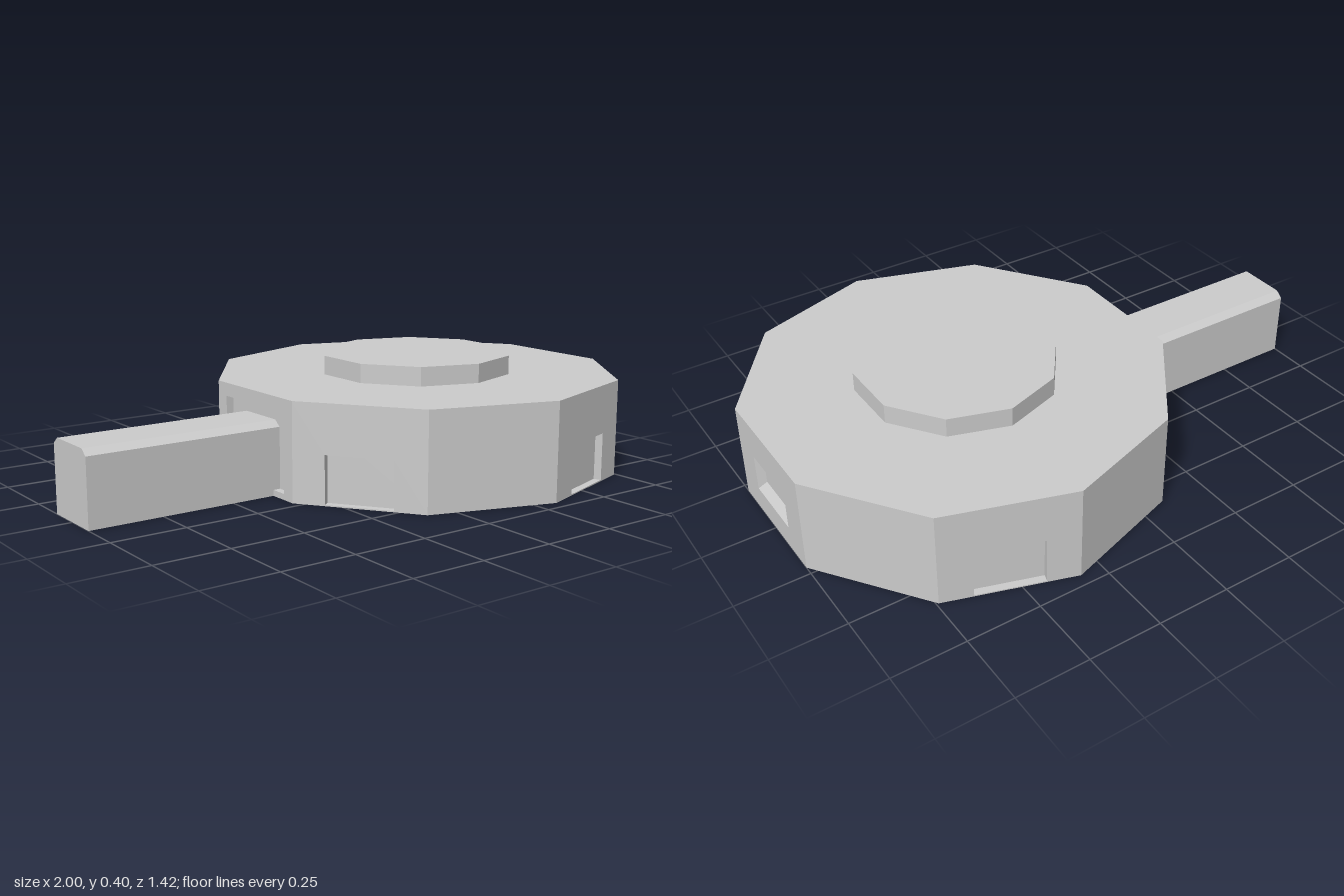
import * as THREE from 'three';

const mat = new THREE.MeshStandardMaterial({ color: 0xcccccc, flatShading: true });
const matDouble = new THREE.MeshStandardMaterial({ color: 0xcccccc, flatShading: true, side: THREE.DoubleSide });

const SIDES = 10, RADIUS = 0.71, HEIGHT = 0.33, HOLE = 0.335;
const APOTHEM = RADIUS * Math.cos(Math.PI / SIDES);
const WALL_WIDTH = 2 * RADIUS * Math.sin(Math.PI / SIDES);
const WALL = 0.026, PLATE = 0.003;

function mesh(name, geometry, material = mat) {
  const m = new THREE.Mesh(geometry, material);
  m.name = name;
  return m;
}

// Ten-cornered outline with corners on the z axis
function decagon(radius, Type = THREE.Shape) {
  const points = [];
  for (let i = 0; i < SIDES; i++) {
    const a = Math.PI / 2 + (i * 2 * Math.PI) / SIDES;
    points.push(new THREE.Vector2(Math.cos(a) * radius, Math.sin(a) * radius));
  }
  return new Type(points);
}

// Upright decagonal prism, optionally with a decagonal hole
function prism(radius, y0, y1, holeRadius = 0) {
  const shape = decagon(radius);
  if (holeRadius) shape.holes.push(decagon(holeRadius, THREE.Path));
  return new THREE.ExtrudeGeometry(shape, { depth: y1 - y0, bevelEnabled: false })
    .rotateX(-Math.PI / 2).translate(0, y0, 0);
}

function rectangle(halfWidth, y0, y1, Type = THREE.Shape) {
  return new Type([[-halfWidth, y0], [halfWidth, y0], [halfWidth, y1], [-halfWidth, y1]]
    .map(([x, y]) => new THREE.Vector2(x, y)));
}

// One outer wall, pierced by an opening whose back is the core
function wallPanel(opening) {
  const shape = rectangle(WALL_WIDTH / 2, PLATE, HEIGHT - PLATE);
  if (opening) shape.holes.push(rectangle(...opening, THREE.Path));
  return new THREE.ExtrudeGeometry(shape, { depth: WALL, bevelEnabled: false })
    .translate(0, 0, APOTHEM - WALL);
}

// Sloping reveal between the window opening and its smaller back
function windowReveal(outer, inner) {
  const loop = ([w, y0, y1], z) => [[-w, y0, z], [w, y0, z], [w, y1, z], [-w, y1, z]];
  const front = loop(outer, APOTHEM), back = loop(inner, APOTHEM - WALL + 0.001);
  const positions = [];
  for (let i = 0; i < 4; i++) {
    const j = (i + 1) % 4;
    for (const p of [front[i], front[j], back[j], front[i], back[j], back[i]]) positions.push(...p);
  }
  const g = new THREE.BufferGeometry();
  g.setAttribute('position', new THREE.Float32BufferAttribute(positions, 3));
  g.computeVertexNormals();
  return g;
}

export function createModel() {
  const root = new THREE.Group();
  root.name = 'roundBuilding';
  const hall = new THREE.Group();
  hall.name = 'hall';
  hall.position.x = 0.325;
  root.add(hall);

  // Core ring, floor and roof
  const coreRadius = (APOTHEM - WALL) / Math.cos(Math.PI / SIDES);
  hall.add(mesh('core', prism(coreRadius, PLATE, HEIGHT - PLATE, HOLE)));
  hall.add(mesh('floor', prism(RADIUS, 0, PLATE, HOLE)));
  hall.add(mesh('roof', prism(RADIUS, HEIGHT - PLATE, HEIGHT)));
  hall.add(mesh('roofCap', prism(HOLE, HEIGHT, 0.395)));

  // Walls with four doorways, a window and the corridor opening
  const door = [0.112, 0.004, 0.165];
  const window = [0.112, 0.083, 0.21];
  const corridorOpening = [0.17, 0.02, 0.285];
  const openings = { 0: door, 2: window, 4: door, 6: door, 7: corridorOpening, 8: door };
  for (let i = 0; i < SIDES; i++) {
    const panel = mesh(openings[i] === door ? 'doorWall' : 'wall', wallPanel(openings[i]));
    panel.rotation.y = ((i + 0.5) * 2 * Math.PI) / SIDES;
    hall.add(panel);
  }
  const reveal = mesh('windowReveal', windowReveal(window, [0.095, 0.11, 0.18]), matDouble);
  reveal.rotation.y = Math.PI / 2;
  hall.add(reveal);

  // Box behind the window, reaching into the central hollow
  const box = mesh('windowBox', new THREE.BoxGeometry(0.45, 0.17, 0.18));
  box.position.set(0.375, 0.135, 0);
  hall.add(box);

  // Corridor with bevelled top edges
  const section = new THREE.Shape([
    [-0.11, 0], [0.11, 0], [0.11, 0.225], [0.085, 0.245], [-0.085, 0.245], [-0.11, 0.225],
  ].map(([x, y]) => new THREE.Vector2(x, y)));
  const corridor = mesh('corridor',
    new THREE.ExtrudeGeometry(section, { depth: 0.68, bevelEnabled: false }));
  corridor.rotation.y = Math.PI / 2;
  corridor.position.x = -1;
  root.add(corridor);

  return root;
}
